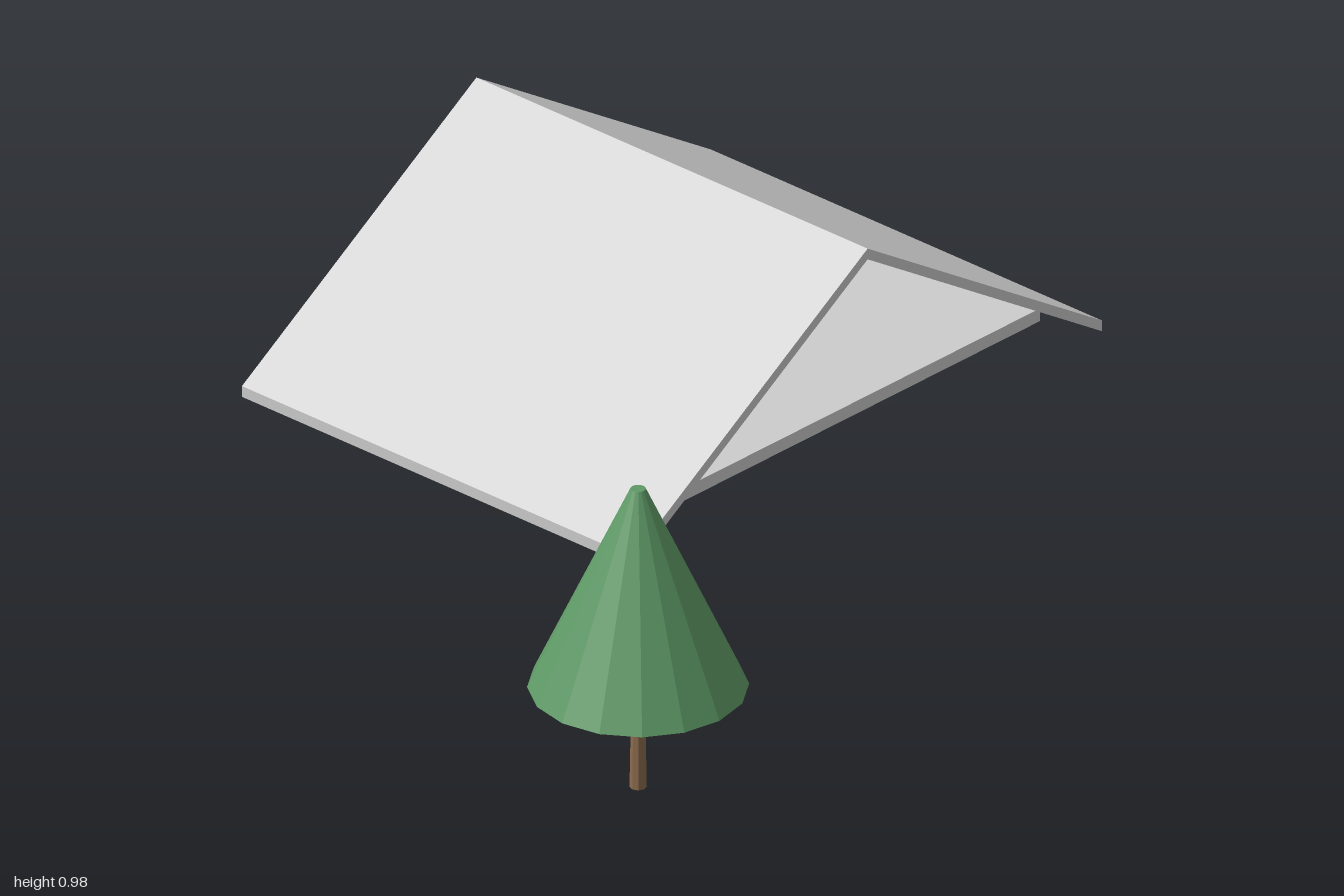
import * as THREE from 'three';

const material = (name, color) => {
  const m = new THREE.MeshStandardMaterial({ color });
  m.name = name;
  return m;
};

export function createModel() {
  const grey = material('light grey', 0xcccccc);
  const green = material('leaf green', 0x5f9a66);
  const brown = material('bark brown', 0x8b6b4e);
  const model = new THREE.Group();
  model.name = 'roofAndTree';

  const add = (name, geometry, mat, x, y, z, parent = model) => {
    // faceted shading on every part
    const flat = geometry.index ? geometry.toNonIndexed() : geometry;
    flat.computeVertexNormals();
    const mesh = new THREE.Mesh(flat, mat);
    mesh.name = name;
    mesh.position.set(x, y, z);
    parent.add(mesh);
    return mesh;
  };

  // Gable roof: two thin slopes with plumb-cut eaves, as one bent strip
  const ridgeX = 0.205, half = 0.795, back = -0.825, front = 0.41;
  const section = new THREE.Shape([
    [-half, 0.455], [0, 0.953], [half, 0.455],
    [half, 0.483], [0, 0.981], [-half, 0.483],
  ].map(([x, y]) => new THREE.Vector2(x, y)));
  add('roof', new THREE.ExtrudeGeometry(section, { depth: front - back, bevelEnabled: false }),
    grey, ridgeX, 0, back);

  // Ceiling slab, set in from the gable ends
  add('ceilingSlab', new THREE.BoxGeometry(1.385, 0.033, 1.035), grey, ridgeX, 0.502, -0.2075);

  // Conifer: truncated cone on a tapered trunk
  const tree = new THREE.Group();
  tree.name = 'tree';
  tree.position.set(-0.743, 0, 0.568);
  model.add(tree);
  add('trunk', new THREE.CylinderGeometry(0.015, 0.02, 0.28, 8), brown, 0, 0.14, 0, tree);
  add('foliage', new THREE.CylinderGeometry(0.018, 0.257, 0.515, 16), green, 0, 0.5225, 0, tree);

  return model;
}
